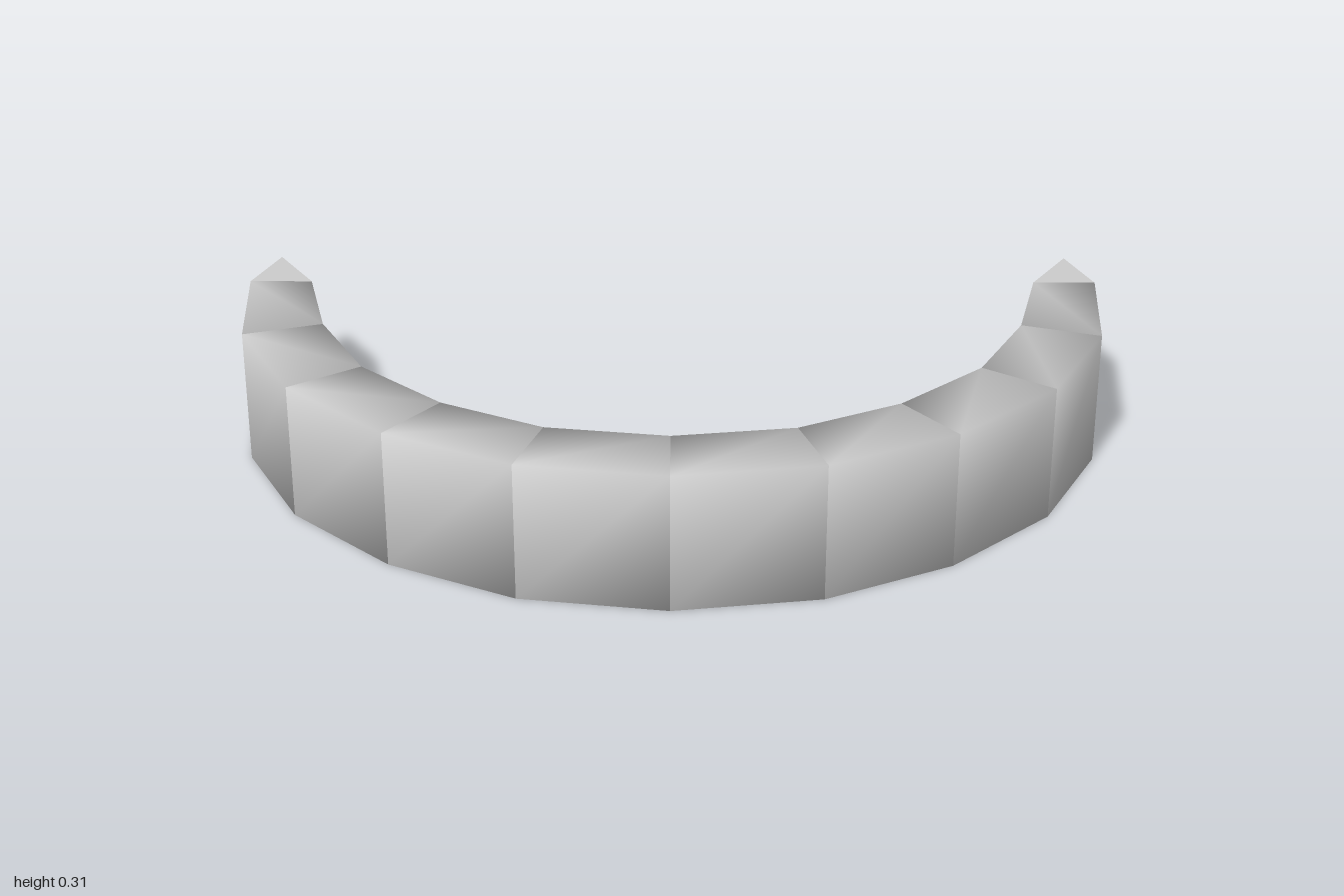
import * as THREE from 'three';

const HEIGHT = 0.31;
// Half of the arc from the middle to the end: outer [x, z], inner [x, z]
const HALF = [
  [[0, 0.585], [0, 0.4]],
  [[0.32, 0.535], [0.265, 0.36]],
  [[0.6, 0.39], [0.49, 0.24]],
  [[0.83, 0.165], [0.68, 0.055]],
  [[0.97, -0.12], [0.795, -0.18]],
  [[1, -0.435], [0.855, -0.435]],
];
const TIP = [0.948, -0.59];

const mirror = ([x, z]) => [-x, z];

function makeMesh(name, points, index, material) {
  const geometry = new THREE.BufferGeometry();
  geometry.setAttribute('position', new THREE.Float32BufferAttribute(points.flat(), 3));
  geometry.setIndex(index);
  geometry.computeVertexNormals();
  const mesh = new THREE.Mesh(geometry, material);
  mesh.name = name;
  return mesh;
}

// Four corners of the band at one station
const section = ([[ox, oz], [ix, iz]]) => [
  [ox, 0, oz], [ox, HEIGHT, oz], [ix, HEIGHT, iz], [ix, 0, iz],
];

export function createModel() {
  const group = new THREE.Group();
  group.name = 'curvedBand';
  const material = new THREE.MeshStandardMaterial({ color: 0xcccccc });

  // Band segments, rounded in shading around the section, faceted along the arc
  const stations = [...HALF.slice(1).reverse().map((s) => s.map(mirror)), ...HALF];
  for (let s = 0; s < stations.length - 1; s++) {
    const index = [];
    for (let k = 0; k < 4; k++) {
      const n = (k + 1) % 4;
      index.push(k, k + 4, n + 4, k, n + 4, n);
    }
    const points = [...section(stations[s]), ...section(stations[s + 1])];
    group.add(makeMesh('bandSegment', points, index, material));
  }

  // Pointed ends: two walls meeting at a vertical edge, with flat caps
  const [outer, inner] = HALF[HALF.length - 1];
  const ends = {
    leftTip: [outer, TIP, inner],
    rightTip: [inner, TIP, outer].map(mirror),
  };
  for (const [name, corners] of Object.entries(ends)) {
    const low = corners.map(([x, z]) => [x, 0, z]);
    const high = corners.map(([x, z]) => [x, HEIGHT, z]);
    const tip = new THREE.Group();
    tip.name = name;
    tip.add(
      makeMesh('tipWalls', [...low, ...high], [0, 1, 4, 0, 4, 3, 1, 2, 5, 1, 5, 4], material),
      makeMesh('tipTop', high, [0, 1, 2], material),
      makeMesh('tipBottom', low, [0, 2, 1], material),
    );
    group.add(tip);
  }
  return group;
}
